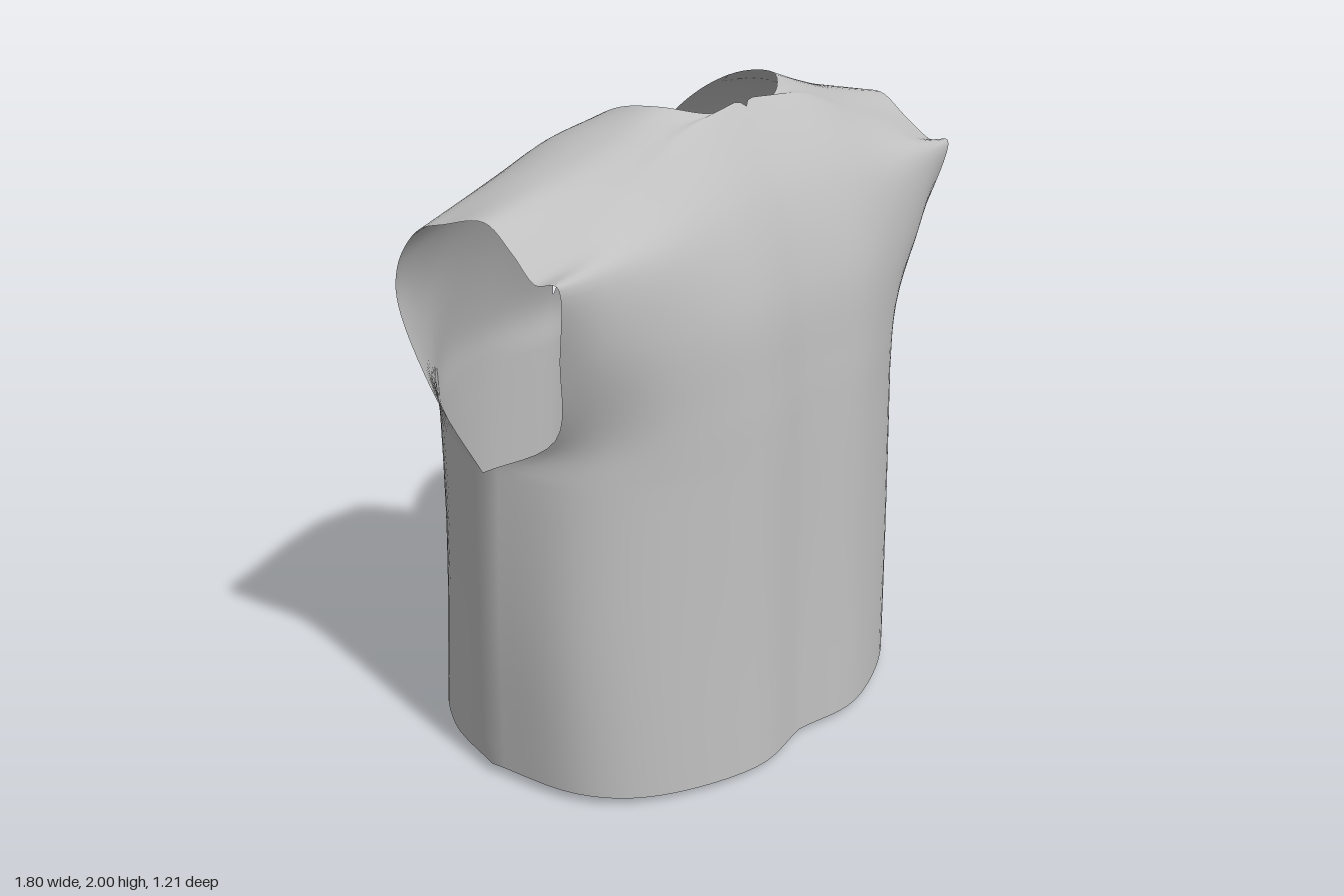
import * as THREE from 'three';
import { mergeGeometries, mergeVertices } from 'three/addons/utils/BufferGeometryUtils.js';

// Each row is a cross-section of the left half, from the middle (or neck edge)
// out to the side seam (or armhole edge), five points of x, y, z.
const frontChest = [
  [0, .02, .57, .25, .02, .60, .55, .02, .48, .72, .03, .30, .78, .03, 0],
  [0, .5, .56, .25, .5, .585, .55, .5, .47, .73, .5, .30, .80, .5, .02],
  [0, 1.02, .555, .25, 1.02, .575, .53, 1.02, .47, .71, 1.03, .31, .81, 1.04, .05],
];
const frontYoke = [
  [0, 1.24, .55, .25, 1.23, .57, .50, 1.21, .49, .66, 1.2, .38, .75, 1.19, .28],
  [0, 1.5, .53, .25, 1.5, .55, .50, 1.48, .50, .69, 1.47, .44, .815, 1.47, .37],
  [0, 1.76, .45, .25, 1.75, .47, .50, 1.70, .465, .70, 1.69, .44, .86, 1.69, .42],
];
const shoulder = [
  [0, 1.97, .31, .25, 1.93, .34, .50, 1.82, .36, .70, 1.75, .36, .87, 1.69, .34],
  [.14, 1.975, .295, .30, 1.95, .28, .50, 1.87, .28, .70, 1.80, .27, .86, 1.75, .25],
  [.25, 2, .20, .38, 1.95, .18, .55, 1.89, .17, .70, 1.85, .16, .86, 1.81, .15],
  [.26, 1.97, .05, .40, 1.93, .03, .55, 1.88, .03, .72, 1.83, .02, .88, 1.78, .02],
  [.24, 1.88, -.10, .40, 1.87, -.10, .57, 1.82, -.10, .73, 1.78, -.09, .895, 1.74, -.08],
];
const backYoke = [
  [.19, 1.74, -.22, .38, 1.72, -.25, .57, 1.69, -.23, .74, 1.66, -.19, .90, 1.62, -.16],
  [.11, 1.5, -.36, .30, 1.49, -.39, .52, 1.47, -.35, .72, 1.46, -.27, .87, 1.46, -.19],
  [0, 1.2, -.48, .25, 1.2, -.50, .50, 1.2, -.43, .67, 1.19, -.30, .79, 1.19, -.15],
];
const backWaist = [
  [0, 1.02, -.49, .25, 1.02, -.525, .50, 1.02, -.44, .67, 1.03, -.27, .81, 1.04, .05],
  [0, .5, -.52, .25, .5, -.57, .51, .5, -.455, .69, .5, -.23, .80, .5, .02],
  [0, .04, -.55, .25, 0, -.605, .53, .01, -.46, .70, .02, -.25, .78, .03, 0],
];

// Smooth curve through points, sampled evenly per span
function sample(points, perSpan) {
  const curve = new THREE.CatmullRomCurve3(points, false, 'catmullrom', 0.5);
  const n = (points.length - 1) * perSpan;
  return Array.from({ length: n + 1 }, (_, i) => curve.getPoint(i / n));
}

// Surface through the rows; side is 1 for the left half, -1 for the right
function panel(rows, side) {
  const columns = [0, 1, 2, 3, 4].map((k) =>
    sample(rows.map((r) => new THREE.Vector3().fromArray(r, k * 3)), 6));
  const grid = columns[0].map((_, i) => sample(columns.map((c) => c[i]), 6));
  const w = grid[0].length;
  const position = [];
  const index = [];
  grid.forEach((row, i) => row.forEach((p, j) => {
    position.push(side * Math.max(0, p.x), p.y, p.z);
    if (i === 0 || j === 0) return;
    const d = i * w + j, c = d - 1, b = d - w, a = b - 1;
    if (side > 0) index.push(a, b, d, a, d, c);
    else index.push(a, d, b, a, c, d);
  }));
  const geometry = new THREE.BufferGeometry();
  geometry.setAttribute('position', new THREE.Float32BufferAttribute(position, 3));
  geometry.setIndex(index);
  return geometry;
}

export function createModel() {
  const cloth = new THREE.MeshStandardMaterial({ color: 0xc0c0c0, side: THREE.DoubleSide });
  cloth.name = 'grey cloth';

  // Front body, yoke over the shoulders, and back body, sharing their end rows
  const sections = [
    frontChest,
    [frontChest[2], ...frontYoke, ...shoulder, ...backYoke, backWaist[0]],
    backWaist,
  ];
  const panels = [1, -1].flatMap((side) => sections.map((rows) => panel(rows, side)));
  const geometry = mergeVertices(mergeGeometries(panels), 1e-4);
  geometry.computeVertexNormals();

  const garment = new THREE.Mesh(geometry, cloth);
  garment.name = 'sleevelessTop';
  const group = new THREE.Group();
  group.name = 'garment';
  group.add(garment);
  return group;
}
